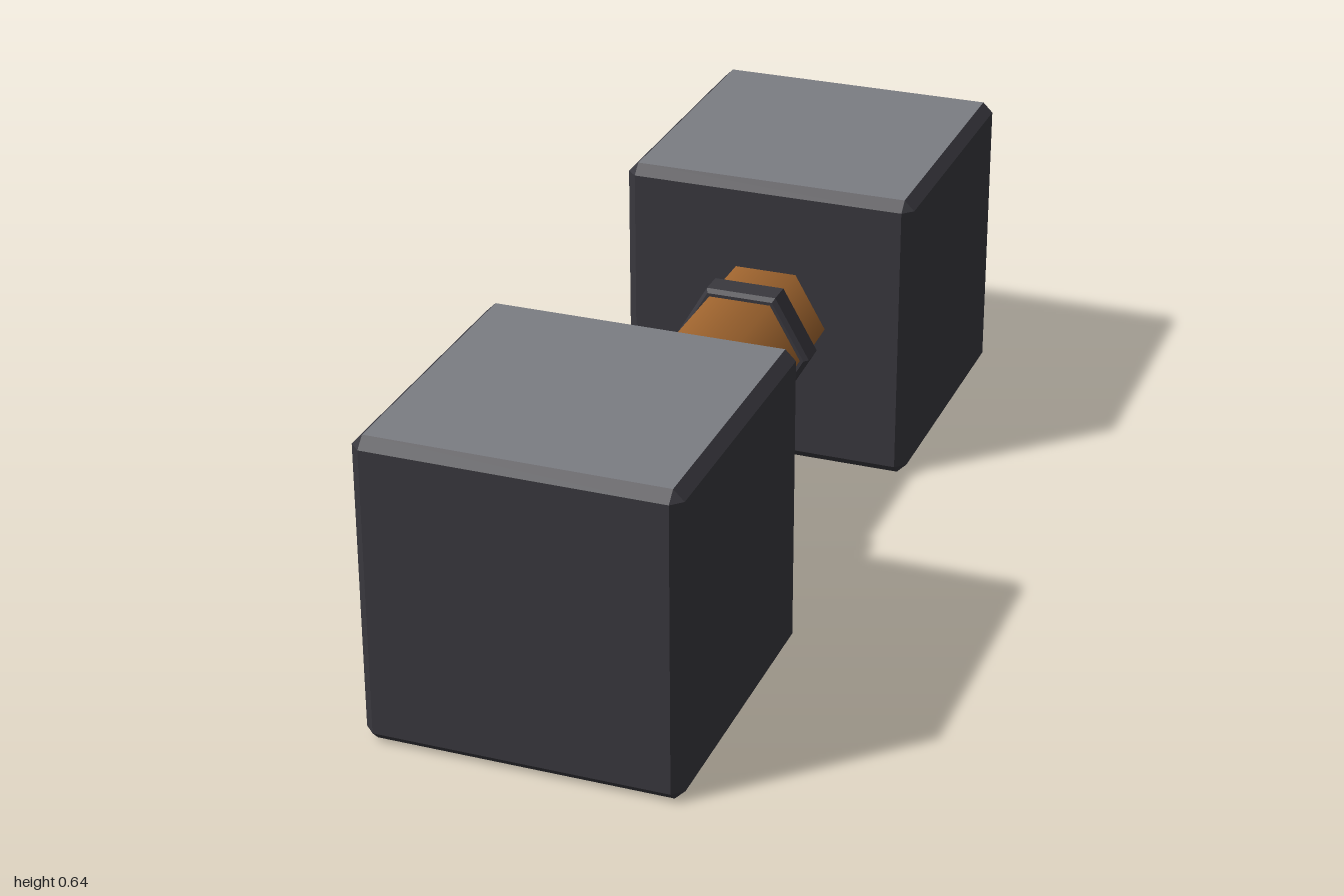
import * as THREE from 'three';
import { ConvexGeometry } from 'three/addons/geometries/ConvexGeometry.js';

const material = (name, color) => {
  const m = new THREE.MeshStandardMaterial({ color });
  m.name = name;
  return m;
};

// Cube with chamfered edges; group 1 holds the flat top and bottom faces
function chamferedCube(half, chamfer) {
  const inner = half - chamfer;
  const points = [];
  for (const sx of [-1, 1]) for (const sy of [-1, 1]) for (const sz of [-1, 1]) {
    points.push(
      new THREE.Vector3(sx * half, sy * inner, sz * inner),
      new THREE.Vector3(sx * inner, sy * half, sz * inner),
      new THREE.Vector3(sx * inner, sy * inner, sz * half)
    );
  }
  const geometry = new ConvexGeometry(points);
  const normals = geometry.attributes.normal;
  for (let i = 0; i < normals.count; i += 3) {
    geometry.addGroup(i, 3, Math.abs(normals.getY(i)) > 0.99 ? 1 : 0);
  }
  return geometry;
}

export function createModel() {
  const model = new THREE.Group();
  model.name = 'mallet';
  const darkMetal = material('darkMetal', 0x39383e);
  const paleMetal = material('paleMetal', 0x7b7d83);
  const wood = material('wood', 0xa0652f);
  const axisY = 0.325;

  const add = (name, geometry, mat, y, z) => {
    const mesh = new THREE.Mesh(geometry, mat);
    mesh.name = name;
    mesh.position.set(0, y, z);
    model.add(mesh);
  };

  // Six-sided handle with softly shaded sides, corners pointing left and right
  const handle = new THREE.CylinderGeometry(0.135, 0.135, 0.76, 6, 1, true, Math.PI / 6);
  handle.rotateX(Math.PI / 2);
  add('handle', handle, wood, axisY, 0);

  // Six-sided collar with bevelled rims
  const profile = [[0.12, -0.035], [0.143, -0.035], [0.152, -0.026],
    [0.152, 0.026], [0.143, 0.035], [0.12, 0.035]].map(([r, h]) => new THREE.Vector2(r, h));
  const collar = new THREE.LatheGeometry(profile, 6, Math.PI / 6).toNonIndexed();
  collar.computeVertexNormals();
  collar.rotateX(Math.PI / 2);

  // Matching block and collar at each end
  const block = chamferedCube(0.32, 0.0215);
  for (const [end, s] of [['front', 1], ['back', -1]]) {
    add(end + 'Block', block, [darkMetal, paleMetal], 0.32, s * 0.68);
    add(end + 'Collar', collar, darkMetal, axisY, s * 0.23);
  }
  return model;
}
